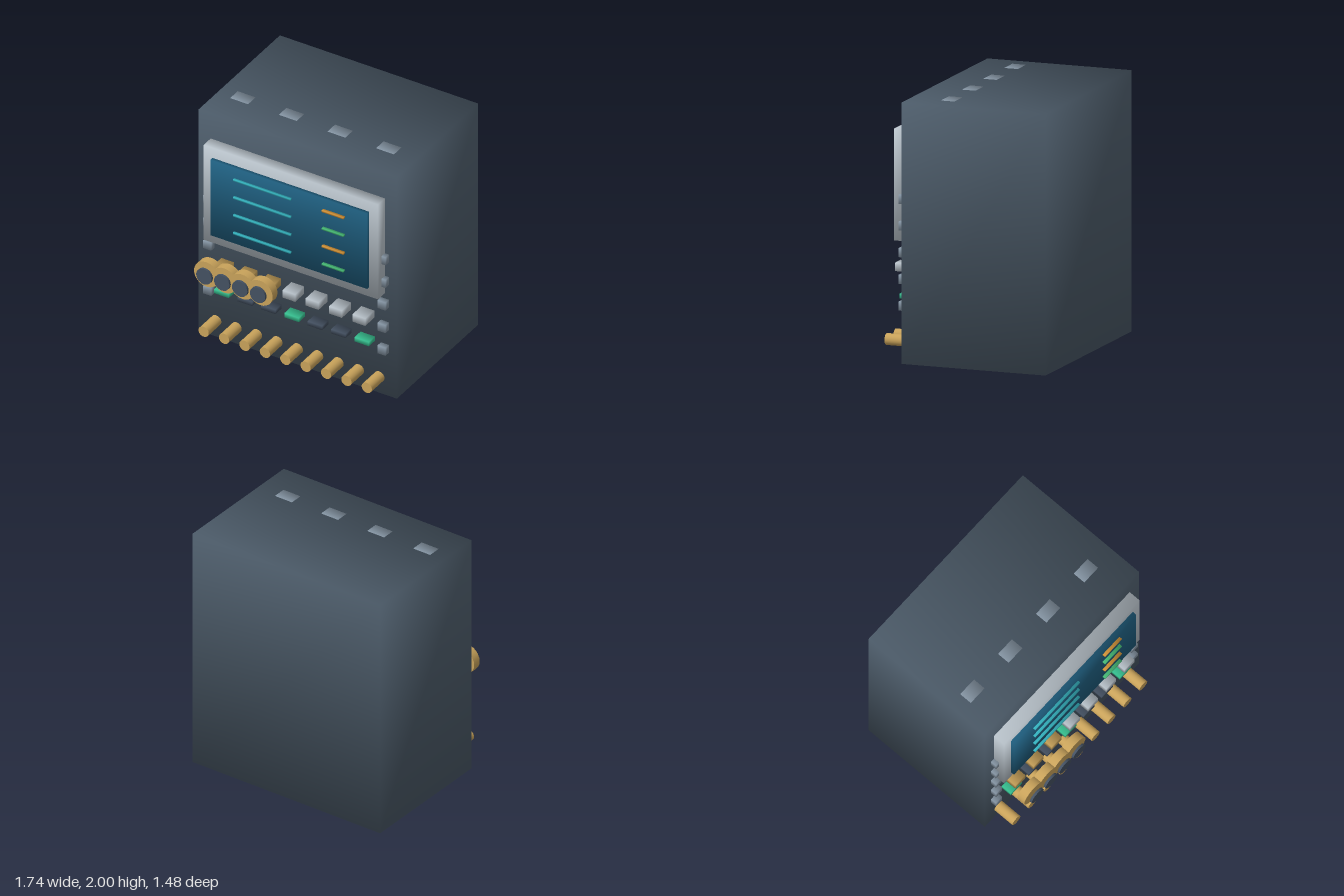
import * as THREE from 'three';

const mat = (name, color) => {
  const m = new THREE.MeshStandardMaterial({ color });
  m.name = name;
  return m;
};

export function createModel() {
  const group = new THREE.Group();
  const slate = mat('slate cabinet', 0x4c5b69);
  const silver = mat('silver', 0xbcc6ce);
  const glass = mat('screen blue', 0x1f5f80);
  const cyan = mat('cyan trace', 0x36b9c6);
  const orange = mat('orange trace', 0xd9983a);
  const lime = mat('green trace', 0x48c07a);
  const mint = mat('lit lamp green', 0x38c493);
  const gold = mat('brass', 0xc8a25a);
  const steel = mat('steel', 0x8797a6);
  const dark = mat('dark slate', 0x445162);

  const add = (name, geometry, material, x, y, z) => {
    const mesh = new THREE.Mesh(geometry, material);
    mesh.name = name;
    mesh.position.set(x, y, z);
    group.add(mesh);
    return mesh;
  };

  // Box given by its centre in x and y and its z range, with soft corner normals
  const box = (name, material, x, y, w, h, z0, z1) => {
    const g = new THREE.BoxGeometry(w, h, z1 - z0);
    const p = g.attributes.position;
    const k = 1 / Math.sqrt(3);
    for (let i = 0; i < p.count; i++) {
      g.attributes.normal.setXYZ(i, Math.sign(p.getX(i)) * k, Math.sign(p.getY(i)) * k, Math.sign(p.getZ(i)) * k);
    }
    return add(name, g, material, x, y, (z0 + z1) / 2);
  };

  // Cylinder pointing forward
  const disc = (name, material, x, y, r, z0, z1) => {
    const g = new THREE.CylinderGeometry(r, r, z1 - z0, 24).rotateX(Math.PI / 2);
    return add(name, g, material, x, y, (z0 + z1) / 2);
  };

  // Cabinet with four vents set in the top
  box('cabinet', slate, 0, 0.9985, 1.74, 1.997, -0.74, 0.42);
  for (let i = 0; i < 4; i++) box('topVent', steel, -0.668 + i * 0.427, 1.985, 0.155, 0.03, 0.065, 0.17);

  // Display
  box('screenBezel', silver, 0, 1.343, 1.53, 0.855, 0.42, 0.52);
  box('screen', glass, 0, 1.34, 1.375, 0.68, 0.515, 0.55);
  for (let i = 0; i < 4; i++) {
    const y = 1.585 - i * 0.16;
    box('longTrace', cyan, -0.223, y, 0.505, 0.015, 0.555, 0.575);
    box('shortTrace', i % 2 ? lime : orange, 0.402, y, 0.19, 0.015, 0.555, 0.58);
  }

  // Clips down both edges of the front
  for (const side of [-1, 1]) {
    for (let i = 0; i < 5; i++) box('edgeClip', steel, side * 0.765, 0.425 + i * 0.204, 0.07, 0.07, 0.42, 0.47);
  }

  // Row of keys above a row of lamps
  for (let i = 0; i < 7; i++) {
    const x = (i - 3) * 0.205;
    box('key', i < 3 ? gold : silver, x, 0.693, 0.113, 0.065, 0.42, 0.55);
    box('lamp', i % 3 ? dark : mint, x, 0.475, 0.127, 0.037, 0.42, 0.51);
  }

  // Dials with dark faces
  for (let i = 0; i < 4; i++) {
    const x = -0.63 + i * 0.157;
    disc('dial', gold, x, 0.752, 0.11, 0.63, 0.7);
    disc('dialFace', dark, x, 0.752, 0.068, 0.718, 0.737);
  }

  // Jack sockets along the bottom
  for (let i = 0; i < 9; i++) disc('jack', gold, (i - 4) * 0.179, 0.147, 0.045, 0.42, 0.6);

  return group;
}
